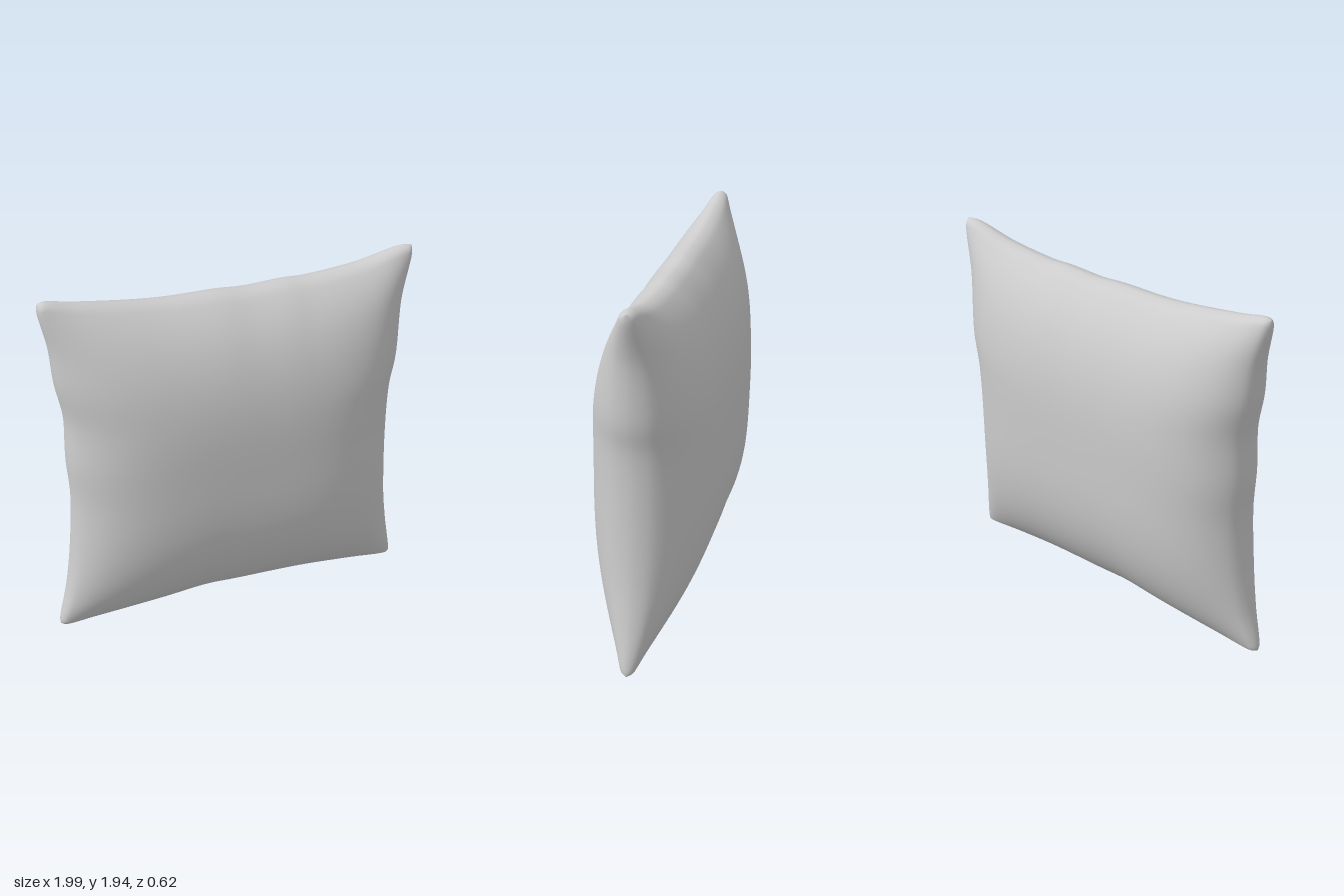
import * as THREE from 'three';
import { mergeVertices } from 'three/addons/utils/BufferGeometryUtils.js';

const N = 72; // grid cells per side

const edge = (pts) => {
  const c = new THREE.CatmullRomCurve3(pts.map(([x, y]) => new THREE.Vector3(x, y, 0)));
  c.arcLengthDivisions = 600;
  return c;
};

// Seam outline: four gently wavy, inward-bowed edges sharing slightly blunted corners
const BL = [-0.994, 0.03], BR = [0.978, 0.008], TL = [-0.963, 1.938], TR = [0.992, 1.942];
const bottom = edge([BL, [-0.96, 0.024], [-0.8, 0.043], [-0.4, 0.077], [-0.18, 0.097], [0, 0.09], [0.4, 0.075], [0.7, 0.042], [0.95, 0.003], BR]);
const top = edge([TL, [-0.93, 1.945], [-0.78, 1.917], [-0.38, 1.867], [-0.05, 1.862], [0.08, 1.854], [0.3, 1.863], [0.4, 1.86], [0.7, 1.89], [0.93, 1.944], TR]);
const left = edge([BL, [-0.996, 0.06], [-0.945, 0.26], [-0.905, 0.5], [-0.878, 0.82], [-0.887, 1.05], [-0.882, 1.3], [-0.915, 1.5], [-0.93, 1.7], [-0.967, 1.9], TL]);
const right = edge([BR, [0.978, 0.04], [0.93, 0.3], [0.902, 0.5], [0.882, 0.88], [0.89, 1.21], [0.918, 1.36], [0.94, 1.68], [0.993, 1.9], TR]);

// Fullness rising from a seam (t = 0) to the middle (t = 1)
const swell = (t, n, m) => Math.pow(1 - Math.pow(1 - t, n), m);
// Rounded seam lip
const lip = (t) => Math.sqrt(1 - Math.pow(1 - Math.min(1, t / 0.03), 2));

function pillowGeometry() {
  const s = Array.from({ length: N + 1 }, (_, i) => (1 - Math.cos((Math.PI * i) / N)) / 2);
  const along = (c) => s.map((t) => c.getPointAt(t));
  const B = along(bottom), T = along(top), L = along(left), R = along(right);
  const positions = [], index = [];
  for (const side of [1, -1]) {
    const base = positions.length / 3;
    for (let j = 0; j <= N; j++) {
      for (let i = 0; i <= N; i++) {
        const u = s[i], v = s[j];
        // Blend the four edges across the face
        const blend = (k) => (1 - v) * B[i][k] + v * T[i][k] + (1 - u) * L[j][k] + u * R[j][k]
          - ((1 - u) * (1 - v) * B[0][k] + u * (1 - v) * B[N][k] + (1 - u) * v * T[0][k] + u * v * T[N][k]);
        const a = Math.max(0, 1 - Math.abs(2 * u - 1)), b = Math.max(0, 1 - Math.abs(2 * v - 1));
        const depth = 0.028 * lip(a) * lip(b) + 0.284 * swell(a, 4, 0.62) * swell(b, 3, 0.8);
        const seamZ = (0.018 - 0.036 * v) * (1 - 0.8 * a * b);
        positions.push(blend('x'), blend('y'), seamZ + side * depth);
        if (i < N && j < N) {
          const p = base + j * (N + 1) + i, q = p + N + 1;
          if (side > 0) index.push(p, p + 1, q + 1, p, q + 1, q);
          else index.push(p, q + 1, p + 1, p, q, q + 1);
        }
      }
    }
  }
  let g = new THREE.BufferGeometry();
  g.setAttribute('position', new THREE.Float32BufferAttribute(positions, 3));
  g.setIndex(index);
  g = mergeVertices(g, 1e-5); // join front and back along the seam
  g.computeVertexNormals();
  return g;
}

export function createModel() {
  const group = new THREE.Group();
  group.name = 'pillow';
  const fabric = new THREE.MeshStandardMaterial({ color: 0xcccccc });
  fabric.name = 'light grey fabric';
  const cushion = new THREE.Mesh(pillowGeometry(), fabric);
  cushion.name = 'cushion';
  group.add(cushion);
  return group;
}
